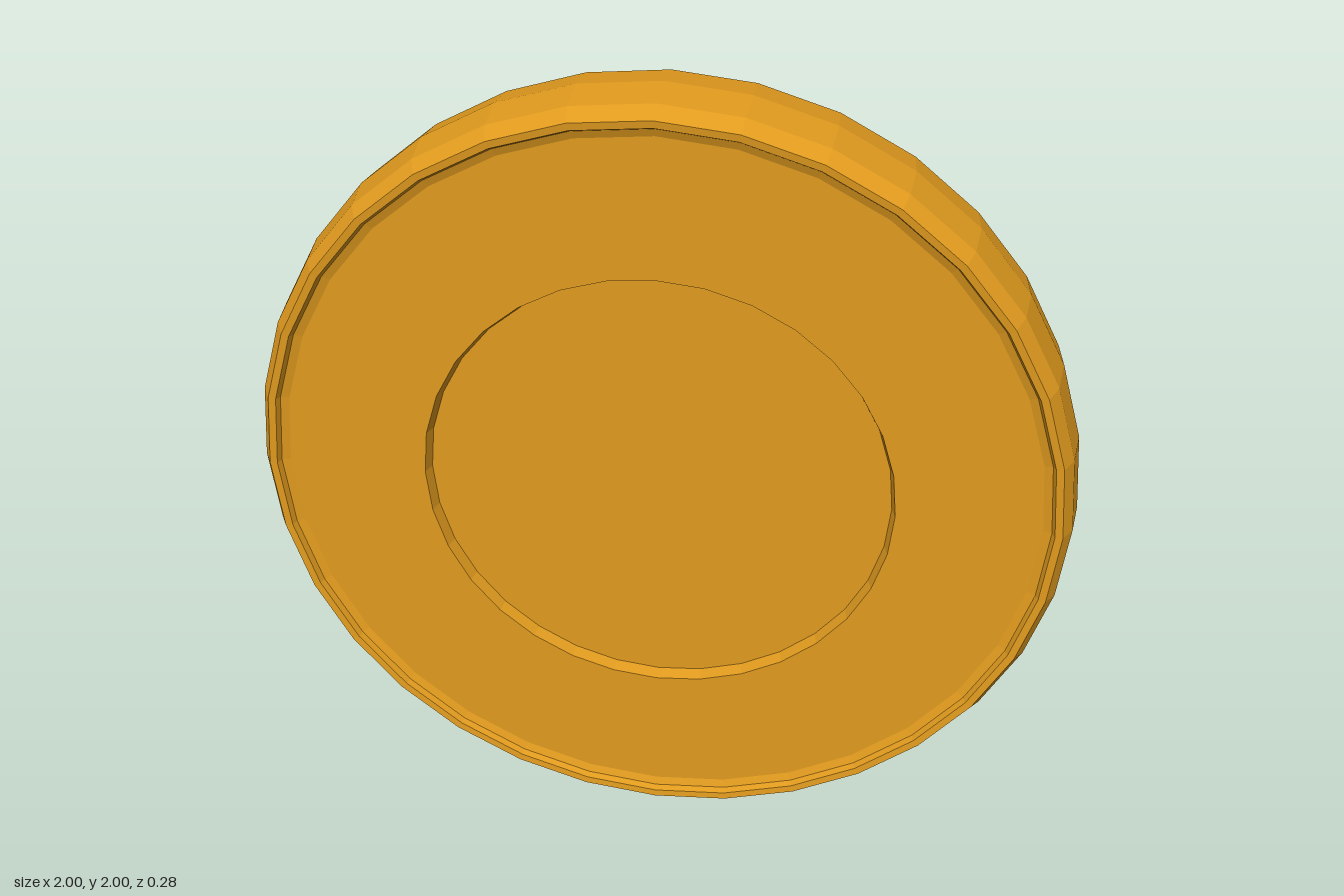
import * as THREE from 'three';

// Upright coin: rounded rim, sunken faces, deeper round recess in the front
export function createModel() {
  const group = new THREE.Group();
  group.name = 'coin';
  const material = new THREE.MeshStandardMaterial({ color: 0xe09a1e, flatShading: true });

  // Half profile [radius, depth], from the sunken face out over the rim to the middle of the edge
  const rim = [[0.92, 0.115], [0.94, 0.123], [0.947, 0.138], [0.965, 0.14], [0.988, 0.1], [1, 0]];
  const back = rim.map(([r, z]) => [r, -z]);
  const front = rim.slice(0, -1).reverse();
  const recess = [[0.575, 0.115], [0.565, 0.085], [0, 0.085]];

  const profile = [[0, -0.115], ...back, ...front, ...recess].map(([r, z]) => new THREE.Vector2(r, z));
  const geometry = new THREE.LatheGeometry(profile, 32).rotateX(Math.PI / 2);

  const body = new THREE.Mesh(geometry, material);
  body.name = 'coinBody';
  body.position.y = 1;
  group.add(body);
  return group;
}
